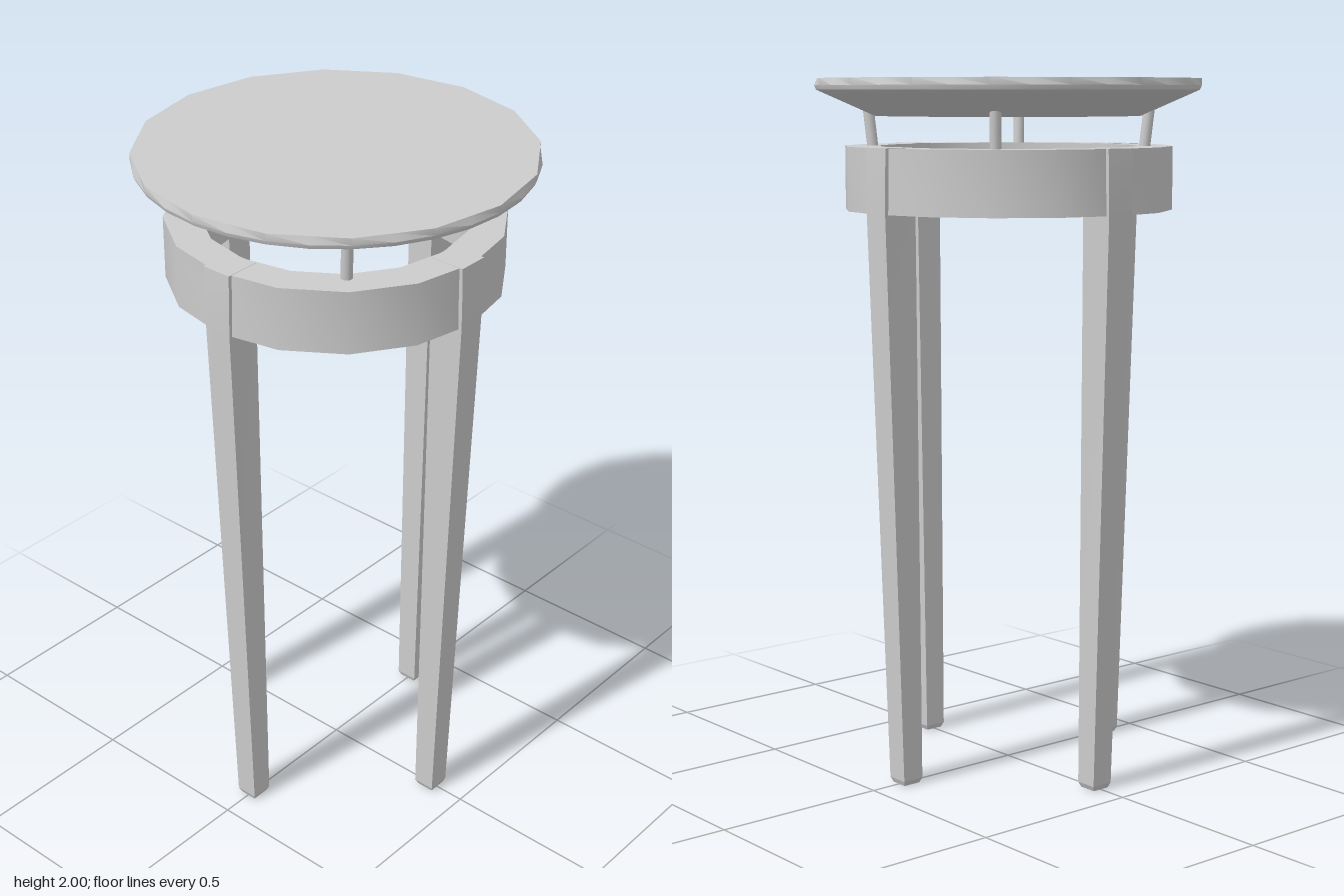
import * as THREE from 'three';
import { toCreasedNormals } from 'three/addons/utils/BufferGeometryUtils.js';

const grey = new THREE.MeshStandardMaterial({ color: 0xcccccc });
grey.name = 'light grey';

function add(parent, name, geometry) {
  const mesh = new THREE.Mesh(geometry, grey);
  mesh.name = name;
  parent.add(mesh);
  return mesh;
}

const lathe = (points, sides) =>
  new THREE.LatheGeometry(points.map(([r, y]) => new THREE.Vector2(r, y)), sides);

// Four-sided solid through levels of [y, inner x, outer x, half width]
function loft(levels) {
  const positions = [];
  const index = [];
  for (const [y, a, b, w] of levels) {
    positions.push(a, y, w, b, y, w, b, y, -w, a, y, -w);
  }
  const last = (levels.length - 1) * 4;
  for (let i = 0; i < last; i += 4) {
    for (let k = 0; k < 4; k++) {
      const p = i + k, q = i + (k + 1) % 4;
      index.push(p, q, q + 4, p, q + 4, p + 4);
    }
  }
  index.push(0, 2, 1, 0, 3, 2, last, last + 1, last + 2, last, last + 2, last + 3);
  const geometry = new THREE.BufferGeometry();
  geometry.setAttribute('position', new THREE.Float32BufferAttribute(positions, 3));
  geometry.setIndex(index);
  return toCreasedNormals(geometry, 0.2);
}

export function createModel() {
  const model = new THREE.Group();
  model.name = 'roundStool';

  // Dished seat: a 32-sided rim whose top edge has only 16 sides
  const seat = lathe([[0, 1.895], [0.38, 1.895], [0.545, 1.968], [0.55, 1.98], [0.55, 2], [0, 2]], 32);
  const pos = seat.attributes.position;
  for (let i = 0; i < pos.count; i++) {
    const column = Math.floor(i / 6);
    if (i % 6 === 4 && column % 2 === 1) {
      const k = Math.cos(Math.PI / 16);
      pos.setX(i, pos.getX(i) * k);
      pos.setZ(i, pos.getZ(i) * k);
    }
  }
  add(model, 'seat', toCreasedNormals(seat, 0.6));

  // Ring apron joining the legs
  const apron = lathe([[0.47, 1.63], [0.47, 1.81], [0.37, 1.81], [0.37, 1.63], [0.47, 1.63]], 16);
  add(model, 'apron', toCreasedNormals(apron, 0.6));

  // Tapered legs with chamfered feet, and leaning pins between them
  const legShape = loft([
    [0, 0.356, 0.409, 0.026],
    [0.015, 0.35, 0.415, 0.033],
    [1.63, 0.368, 0.472, 0.042],
    [1.74, 0.369, 0.473, 0.045],
    [1.811, 0.369, 0.471, 0.045],
  ]);
  const pinPath = new THREE.LineCurve3(
    new THREE.Vector3(0.388, 1.79, 0),
    new THREE.Vector3(0.402, 1.915, 0),
  );
  const pinShape = new THREE.TubeGeometry(pinPath, 1, 0.016, 12);
  for (let i = 0; i < 4; i++) {
    add(model, 'leg', legShape).rotation.y = i * Math.PI / 2;
    add(model, 'supportPin', pinShape).rotation.y = (i + 0.5) * Math.PI / 2;
  }
  return model;
}
